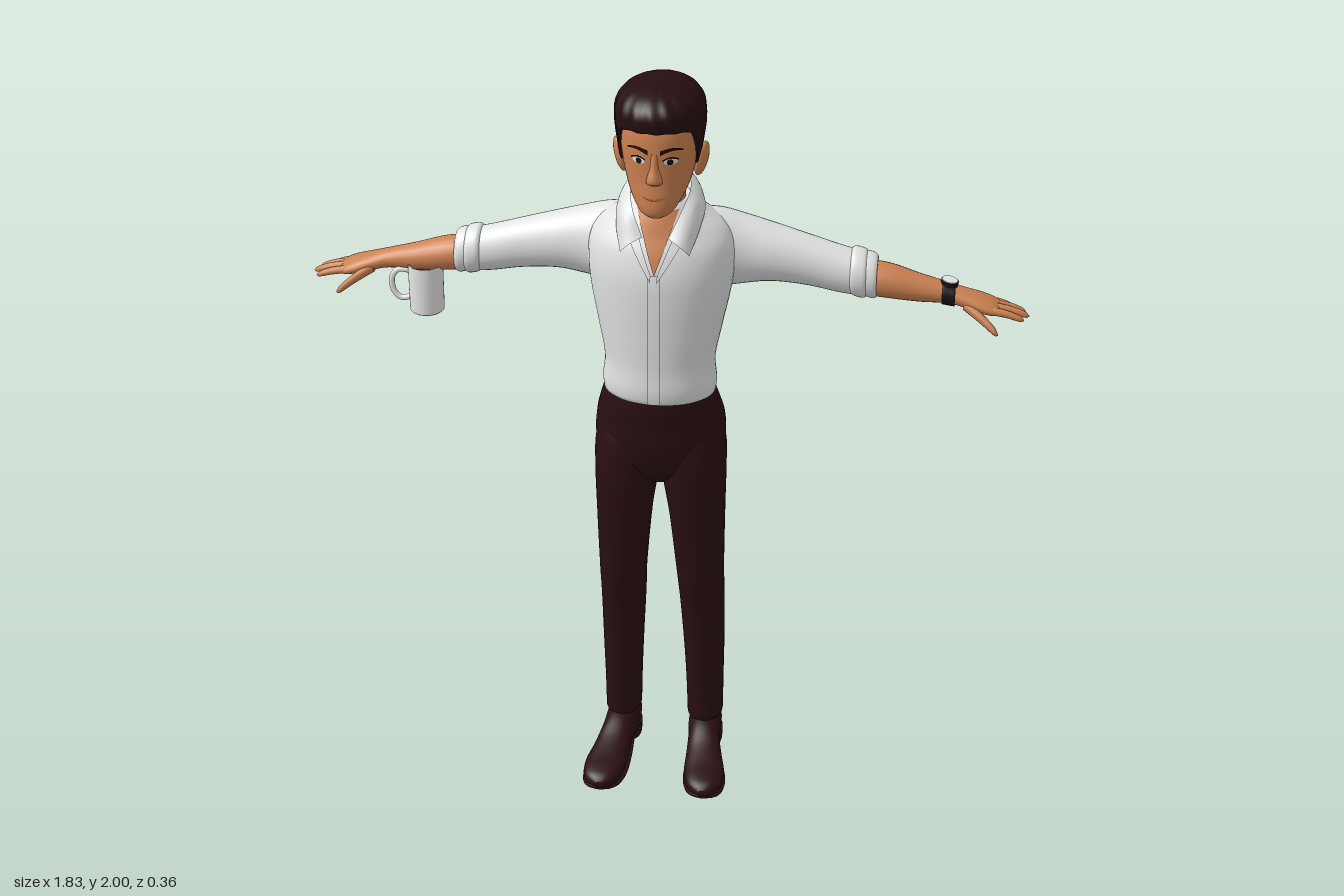
import * as THREE from 'three';
import { mergeVertices } from 'three/addons/utils/BufferGeometryUtils.js';

const mat = (name, color, side = THREE.FrontSide) => {
  const m = new THREE.MeshStandardMaterial({ color, side });
  m.name = name;
  return m;
};

// Smooth interpolation of a row table keyed by its first column
function at(S, s) {
  let i = 0;
  while (i < S.length - 2 && s > S[i + 1][0]) i++;
  const A = S[i], B = S[i + 1], d = B[0] - A[0];
  const t = Math.min(1, Math.max(0, (s - A[0]) / d)), P = S[i - 1] || A, N = S[i + 2] || B;
  return A.map((p, k) => {
    const m0 = (B[k] - P[k]) / (B[0] - P[0]) * d, m1 = (N[k] - A[k]) / (N[0] - A[0]) * d;
    return p * (2 * t ** 3 - 3 * t * t + 1) + m0 * (t ** 3 - 2 * t * t + t)
      + B[k] * (3 * t * t - 2 * t ** 3) + m1 * (t ** 3 - t * t);
  });
}

// Surface from f(u, v) -> [x, y, z], with seams welded
function grid(nu, nv, f) {
  const pos = [], idx = [];
  for (let j = 0; j <= nv; j++) for (let i = 0; i <= nu; i++) pos.push(...f(i / nu, j / nv, j));
  for (let j = 0; j < nv; j++) for (let i = 0; i < nu; i++) {
    const a = j * (nu + 1) + i, b = a + 1, c = b + nu + 1, d = a + nu + 1;
    idx.push(a, b, c, a, c, d);
  }
  let g = new THREE.BufferGeometry();
  g.setAttribute('position', new THREE.Float32BufferAttribute(pos, 3));
  g.setIndex(idx);
  g = mergeVertices(g, 1e-5);
  g.computeVertexNormals();
  return g;
}

// Capped loft of rows [s, a, b, ra, rb]: oval sections centred at (a, b) along an axis
function loft(axis, S, nu = 32, nv = 40, n = 2) {
  const s0 = S[0][0], s1 = S[S.length - 1][0], pw = c => Math.sign(c) * Math.abs(c) ** (2 / n);
  return grid(nu, nv + 4, (u, v, j) => {
    const s = s0 + (s1 - s0) * Math.min(1, Math.max(0, (j - 2) / nv));
    const e = Math.min(j, nv + 4 - j), k = e === 0 ? 0 : e === 1 ? 0.96 : 1;
    const [, a, b, ra, rb] = at(S, s), t = u * Math.PI * 2;
    const p = a + ra * k * pw(Math.cos(t)), q = rb * k * pw(Math.sin(t));
    return axis === 'y' ? [p, s, b - q] : axis === 'x' ? [s, p, b + q] : [p, b + q, s];
  });
}

// Thin plate laid on the front of a vertical loft; f(u, v) -> [x, y]
const patch = (S, off, f, nu = 16, nv = 8, n = 2) => grid(nu, nv, (u, v) => {
  const [x, y] = f(u, v), [, a, b, ra, rb] = at(S, y);
  return [x, y, b + rb * Math.max(0, 1 - Math.abs((x - a) / ra) ** n) ** (1 / n) + off];
});
const disc = (S, off, x, y, rx, ry) => patch(S, off, (u, v) =>
  [x + rx * (1 - v) * Math.cos(u * Math.PI * 2), y + ry * (1 - v) * Math.sin(u * Math.PI * 2)], 20, 3);

function mirrored(g) {
  const m = g.clone().scale(-1, 1, 1), ix = m.index.array;
  for (let i = 0; i < ix.length; i += 3) [ix[i], ix[i + 1]] = [ix[i + 1], ix[i]];
  return m;
}

export function createModel() {
  const root = new THREE.Group();
  const skin = mat('skin', 0xcd8252), shirt = mat('shirt white', 0xe2e3e3, THREE.DoubleSide);
  const trouser = mat('trouser brown', 0x2a0f11), hairMat = mat('hair brown', 0x260e0f);
  const shoeMat = mat('shoe brown', 0x2b1012), black = mat('black', 0x161214);
  const white = mat('white', 0xe8e8e8, THREE.DoubleSide), lip = mat('lip', 0xa9603f), coffeeMat = mat('coffee', 0x35241c);
  const add = (name, g, m) => {
    const o = new THREE.Mesh(g, m);
    o.name = name;
    root.add(o);
    return o;
  };
  const pair = (name, g, m) => { add(name + 'Left', g, m); add(name + 'Right', mirrored(g), m); };

  // Shirt body
  const torso = [[1.17, 0, -0.01, 0.142, 0.106], [1.2, 0, -0.01, 0.145, 0.11], [1.26, 0, -0.012, 0.14, 0.11],
    [1.35, 0, -0.02, 0.156, 0.12], [1.45, 0, -0.033, 0.176, 0.134], [1.52, 0, -0.04, 0.183, 0.137],
    [1.58, 0, -0.047, 0.178, 0.128], [1.62, 0, -0.053, 0.152, 0.114], [1.65, 0, -0.05, 0.11, 0.1], [1.69, 0, -0.045, 0.07, 0.075]];
  add('shirtBody', loft('y', torso, 48, 50), shirt);
  add('openNeckSkin', patch(torso, 0.004, (u, v) => [(u * 2 - 1) * 0.052 * v, 1.53 + 0.15 * v]), skin);
  add('buttonPlacket', patch(torso, 0.005, (u, v) => [(u - 0.5) * 0.032, 1.172 + 0.36 * v], 6, 30), shirt);
  for (let i = 0; i < 5; i++) add('shirtButton', disc(torso, 0.008, 0, 1.22 + i * 0.07, 0.005, 0.005), white);

  // Collar: a band between a neck edge and a lower edge that ends in points
  const curve = p => new THREE.CatmullRomCurve3(p.map(q => new THREE.Vector3(...q)));
  const edgeTop = curve([[0.032, 1.625, 0.078], [0.06, 1.685, 0.045], [0.073, 1.72, -0.03], [0.05, 1.74, -0.088], [0, 1.745, -0.102]]);
  const edgeLow = curve([[0.085, 1.585, 0.085], [0.103, 1.632, 0.03], [0.107, 1.668, -0.05], [0.065, 1.685, -0.13], [0, 1.688, -0.147]]);
  pair('collar', grid(24, 6, (u, v) => {
    const p = edgeTop.getPoint(u).lerp(edgeLow.getPoint(u), v), b = 0.012 * Math.sin(v * Math.PI);
    return [p.x * (1 + b * 5), p.y + b * 0.5, p.z + b * (p.z > 0 ? 1 : -0.5)];
  }), shirt);
  pair('lapelFold', grid(8, 4, (u, v) => {
    const x = 0.008 + 0.042 * u + 0.022 * v * u, y = 1.535 + 0.105 * u - 0.02 * v;
    const [, , b, ra, rb] = at(torso, y);
    return [x, y, b + rb * Math.sqrt(1 - (x / ra) ** 2) + 0.009];
  }), shirt);

  // Sleeves with rolled cuffs
  pair('sleeve', loft('x', [[0.08, 1.54, -0.08, 0.1, 0.08], [0.14, 1.53, -0.095, 0.103, 0.08], [0.2, 1.524, -0.105, 0.091, 0.071],
    [0.27, 1.518, -0.108, 0.076, 0.064], [0.36, 1.502, -0.108, 0.066, 0.055], [0.44, 1.483, -0.108, 0.061, 0.053],
    [0.49, 1.474, -0.108, 0.057, 0.052]], 32, 30), shirt);
  [[0.467, 0.508, 1.477, 0.063], [0.497, 0.533, 1.472, 0.058]].forEach(([a, b, y, r]) => pair('rolledCuff', loft('x',
    [[a, y + 0.004, -0.108, r * 0.9, r * 0.84], [a + 0.007, y + 0.003, -0.108, r, r * 0.92],
      [b - 0.007, y - 0.003, -0.108, r, r * 0.92], [b, y - 0.004, -0.108, r * 0.9, r * 0.84]], 32, 10), shirt));

  // Forearms, palms and fingers
  pair('forearm', loft('x', [[0.48, 1.466, -0.108, 0.045, 0.044], [0.56, 1.458, -0.109, 0.044, 0.046], [0.64, 1.442, -0.112, 0.035, 0.038],
    [0.715, 1.429, -0.117, 0.025, 0.031], [0.76, 1.417, -0.118, 0.023, 0.037], [0.8, 1.405, -0.12, 0.021, 0.044],
    [0.83, 1.396, -0.122, 0.016, 0.042], [0.845, 1.392, -0.122, 0.008, 0.03]], 24, 36), skin);
  const finger = (x0, y0, z0, x1, y1, z1, r) => loft('x', [0, 0.25, 0.55, 0.85, 0.95, 1].map((t, i) => {
    const k = r * [1, 1.02, 0.95, 0.8, 0.55, 0.1][i];
    return [x0 + (x1 - x0) * t, y0 + (y1 - y0) * t + 0.004 * Math.sin(t * Math.PI), z0 + (z1 - z0) * t, k, k];
  }), 12, 16);
  [[0.815, 1.398, -0.153, 0.878, 1.374, -0.169, 0.0085], [0.82, 1.4, -0.133, 0.905, 1.376, -0.145, 0.01],
    [0.82, 1.401, -0.112, 0.914, 1.378, -0.118, 0.0105], [0.815, 1.4, -0.09, 0.902, 1.378, -0.092, 0.01]]
    .forEach(f => pair('finger', finger(...f), skin));
  pair('thumb', finger(0.75, 1.41, -0.098, 0.84, 1.356, -0.047, 0.0145), skin);

  // Wristwatch on the left arm
  add('watchBand', loft('x', [[0.695, 1.433, -0.116, 0.031, 0.036], [0.712, 1.43, -0.117, 0.031, 0.036], [0.728, 1.427, -0.117, 0.03, 0.036]], 24, 4), black);
  const dial = (name, r, h, y, m) => {
    const o = add(name, new THREE.CylinderGeometry(r, r, h, 24), m);
    o.position.set(0.712, y, -0.117);
    o.rotation.z = -0.17;
  };
  dial('watchCase', 0.022, 0.012, 1.459, black);
  dial('watchFace', 0.02, 0.006, 1.464, white);

  // Trousers
  add('trouserSeat', loft('y', [[0.9, 0, -0.03, 0.05, 0.05], [0.93, 0, -0.028, 0.11, 0.08], [0.97, 0, -0.027, 0.158, 0.1],
    [1.03, 0, -0.027, 0.168, 0.114], [1.09, 0, -0.029, 0.164, 0.119], [1.14, 0, -0.018, 0.152, 0.113], [1.18, 0, -0.01, 0.14, 0.104]], 40, 30), trouser);
  pair('trouserLeg', loft('y', [[0.11, 0.113, -0.105, 0.048, 0.066], [0.22, 0.112, -0.1, 0.05, 0.073], [0.35, 0.11, -0.09, 0.054, 0.08],
    [0.5, 0.106, -0.072, 0.059, 0.083], [0.6, 0.103, -0.048, 0.062, 0.083], [0.8, 0.095, -0.03, 0.073, 0.09],
    [0.92, 0.087, -0.026, 0.083, 0.097], [1.02, 0.082, -0.03, 0.085, 0.1], [1.08, 0.075, -0.03, 0.07, 0.09]], 32, 48, 2.15), trouser);

  // Shoes with heels and soles
  pair('shoe', loft('z', [[-0.172, 0.112, 0.055, 0.024, 0.03], [-0.155, 0.112, 0.06, 0.04, 0.05], [-0.09, 0.114, 0.062, 0.045, 0.054],
    [-0.03, 0.119, 0.06, 0.043, 0.048], [0.03, 0.127, 0.044, 0.049, 0.038], [0.09, 0.135, 0.035, 0.055, 0.03],
    [0.14, 0.139, 0.032, 0.049, 0.025], [0.168, 0.14, 0.03, 0.033, 0.019], [0.18, 0.14, 0.028, 0.012, 0.009]], 28, 40, 2.3), shoeMat);
  pair('shoeHeel', loft('y', [[0, 0.113, -0.118, 0.046, 0.053], [0.035, 0.113, -0.118, 0.047, 0.054]], 28, 2, 2.4), shoeMat);
  pair('shoeSole', loft('z', [[-0.04, 0.119, 0.022, 0.043, 0.007], [0.02, 0.127, 0.009, 0.052, 0.008], [0.09, 0.135, 0.008, 0.058, 0.008],
    [0.14, 0.139, 0.011, 0.051, 0.007], [0.17, 0.14, 0.016, 0.035, 0.006], [0.183, 0.14, 0.019, 0.012, 0.004]], 20, 24, 4), shoeMat);

  // Neck and head
  add('neck', loft('y', [[1.56, 0, -0.03, 0.06, 0.06], [1.66, 0, -0.032, 0.06, 0.064], [1.78, 0, -0.035, 0.062, 0.062]], 28, 12), skin);
  const head = [[1.678, 0, 0.062, 0.02, 0.018], [1.688, 0, 0.053, 0.038, 0.038], [1.705, 0, 0.035, 0.053, 0.06], [1.735, 0, 0.013, 0.07, 0.081],
    [1.77, 0, -0.001, 0.082, 0.092], [1.81, 0, -0.006, 0.09, 0.097], [1.86, 0, -0.007, 0.095, 0.1],
    [1.91, 0, -0.01, 0.094, 0.097], [1.96, 0, -0.015, 0.07, 0.075], [1.98, 0, -0.015, 0.04, 0.04]];
  add('head', loft('y', head, 40, 48), skin);
  add('nose', loft('y', [[1.77, 0, 0.087, 0.012, 0.008], [1.778, 0, 0.09, 0.02, 0.019], [1.79, 0, 0.09, 0.018, 0.021],
    [1.815, 0, 0.086, 0.011, 0.017], [1.85, 0, 0.082, 0.01, 0.013]], 20, 20), skin);
  const ear = new THREE.SphereGeometry(1, 20, 16);
  ear.scale(0.014, 0.047, 0.026).rotateZ(-0.2).rotateY(-0.35).translate(0.1, 1.798, -0.024);
  pair('ear', ear, skin);

  // Eyes, brows and mouth
  pair('eyeWhite', disc(head, 0.002, 0.039, 1.832, 0.016, 0.008), white);
  pair('iris', disc(head, 0.004, 0.038, 1.832, 0.0075, 0.0078), black);
  pair('upperLid', patch(head, 0.005, (u, v) => [0.021 + 0.037 * u, 1.835 + 0.007 * Math.sin(u * Math.PI) + 0.004 * v], 12, 2), hairMat);
  pair('brow', patch(head, 0.006, (u, v) =>
    [0.015 + 0.052 * u, 1.851 + 0.011 * Math.sin(u * 2.4) + 0.012 * v * (1 - 0.7 * u)], 14, 3), hairMat);
  add('mouth', patch(head, 0.003, (u, v) =>
    [(u - 0.5) * 0.062, 1.733 + 0.008 * (2 * u - 1) ** 2 + 0.006 * (v - 0.5) * Math.sin(u * Math.PI)], 16, 2), lip);

  // Hair: shell above a hairline that dips at the sideburns and the nape
  const line = [[0, 1.912], [40, 1.908], [58, 1.89], [70, 1.83], [78, 1.785], [92, 1.8], [112, 1.765], [140, 1.742], [180, 1.735]];
  const shell = [[1.72, 0, -0.035, 0.07, 0.06], [1.78, 0, -0.026, 0.094, 0.094], [1.85, 0, -0.022, 0.105, 0.124], [1.91, 0, -0.018, 0.111, 0.132],
    [1.95, 0, -0.016, 0.107, 0.132], [1.98, 0, -0.018, 0.084, 0.105], [1.995, 0, -0.02, 0.043, 0.055], [2, 0, -0.02, 0, 0]];
  add('hair', grid(96, 28, (u, v, j) => {
    const a = (u * 2 - 1) * Math.PI, y0 = at(line, Math.abs(a) * 180 / Math.PI)[1];
    const y = y0 + (2 - y0) * Math.sin(Math.max(0, (j - 1) / 27) * Math.PI / 2);
    const [, , zc, rx, rz] = at(shell, y), front = Math.max(0, Math.cos(a));
    const k = j === 0 ? 0.82 : 1 + (0.008 + 0.012 * front) * Math.sin(16 * a + 40 * (y - 1.9));
    return [rx * k * Math.sin(a), y, zc + rz * k * Math.cos(a)];
  }), hairMat);

  // Mug hanging under the right forearm
  const mug = new THREE.Group();
  mug.name = 'mug';
  mug.position.set(-0.615, 1.3, -0.092);
  const body = new THREE.LatheGeometry([[0, 0], [0.04, 0], [0.044, 0.004], [0.045, 0.131], [0.041, 0.131], [0.04, 0.01], [0, 0.01]]
    .map(p => new THREE.Vector2(...p)), 32);
  const handle = new THREE.TubeGeometry(curve([[-0.04, 0.108, 0], [-0.07, 0.11, 0], [-0.088, 0.088, 0], [-0.086, 0.05, 0], [-0.068, 0.03, 0], [-0.04, 0.034, 0]]), 28, 0.0075, 10);
  const coffee = new THREE.CylinderGeometry(0.0405, 0.0405, 0.004, 28).translate(0, 0.112, 0);
  [['mugBody', body, white], ['mugHandle', handle, white], ['mugCoffee', coffee, coffeeMat]].forEach(([n, g, m]) => {
    const o = add(n, g, m);
    mug.add(o);
  });
  root.add(mug);
  return root;
}
